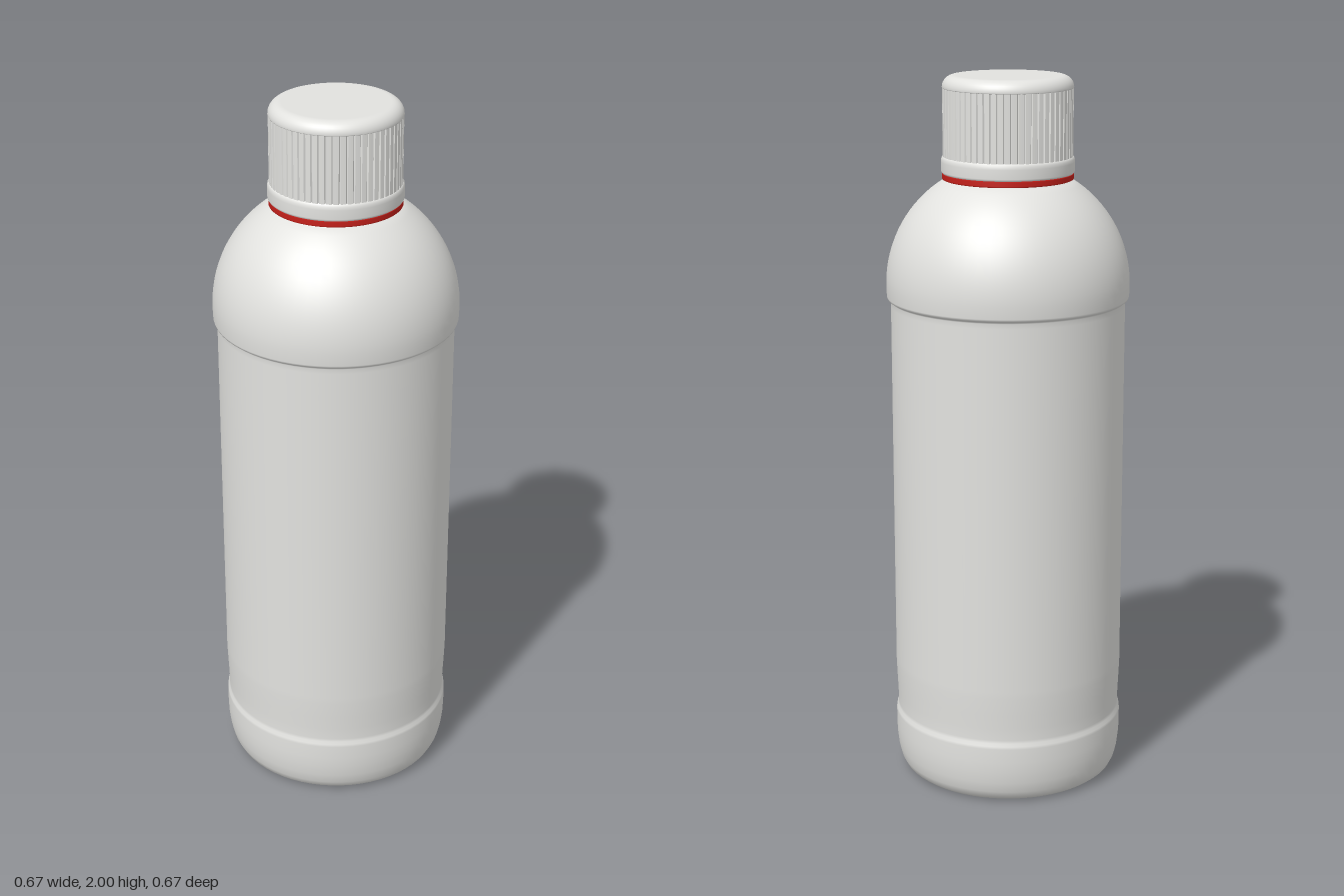
import * as THREE from 'three';

const white = new THREE.MeshStandardMaterial({ color: 0xe2e2df });
white.name = 'white plastic';
const red = new THREE.MeshStandardMaterial({ color: 0xc4201a });
red.name = 'red seal';

// Revolve a bottom-to-top [radius, height] profile
function turned(name, profile, material) {
  const points = profile.map(([r, y]) => new THREE.Vector2(r, y));
  const mesh = new THREE.Mesh(new THREE.LatheGeometry(points, 64), material);
  mesh.name = name;
  return mesh;
}

// Points along an arc in the profile plane, angles in degrees
function arc(cr, cy, radius, from, to, steps) {
  return Array.from({ length: steps + 1 }, (_, i) => {
    const a = THREE.MathUtils.degToRad(from + (to - from) * i / steps);
    return [cr + radius * Math.cos(a), cy + radius * Math.sin(a)];
  });
}

// Cap side: a round outline with narrow vertical grooves
function grooved(name, radius, depth, count, y0, y1) {
  const shape = new THREE.Shape();
  const step = Math.PI * 2 / count;
  for (let i = 0; i < count; i++) {
    for (const [f, d] of [[0, 0], [0.35, 0], [0.7, 0], [0.85, depth]]) {
      const a = (i + f) * step, r = radius - d;
      if (i + f === 0) shape.moveTo(r, 0);
      else shape.lineTo(r * Math.cos(a), r * Math.sin(a));
    }
  }
  shape.closePath();
  const geometry = new THREE.ExtrudeGeometry(shape, { depth: y1 - y0, bevelEnabled: false });
  geometry.rotateX(-Math.PI / 2).translate(0, y0, 0);
  const mesh = new THREE.Mesh(geometry, white);
  mesh.name = name;
  return mesh;
}

export function createModel() {
  const group = new THREE.Group();
  group.name = 'bottle';

  // Flat base, rounded foot, shallow waist, straight wall and overhanging shoulder
  group.add(turned('bottleBody', [
    [0, 0], [0.268, 0], [0.272, 0],
    [0.29, 0.004], [0.304, 0.015], [0.314, 0.035], [0.321, 0.065], [0.325, 0.1],
    [0.326, 0.13], [0.326, 0.17], [0.325, 0.178], [0.321, 0.186], [0.32, 0.195],
    [0.321, 0.23], [0.323, 0.27], [0.325, 0.32], [0.325, 0.34],
    [0.325, 1.37], [0.325, 1.384], [0.327, 1.388], [0.334, 1.392], [0.336, 1.398],
    ...arc(0, 1.43, 0.337, 0, 58, 16),
    [0.168, 1.716], [0.165, 1.725], [0.165, 1.75],
  ], white));

  // Red tamper ring
  group.add(turned('sealRing', [
    [0.16, 1.72], [0.178, 1.72], [0.18, 1.721], [0.18, 1.724],
    [0.18, 1.734], [0.18, 1.737], [0.16, 1.737],
  ], red));

  // Cap: smooth lower band, grooved grip and rounded lid
  group.add(turned('capBand', [
    [0.16, 1.737], [0.18, 1.737], [0.182, 1.739], [0.183, 1.743],
    [0.183, 1.768], [0.182, 1.776], [0.179, 1.782], [0.174, 1.784],
  ], white));
  group.add(grooved('capGrip', 0.178, 0.004, 60, 1.78, 1.968));
  group.add(turned('capLid', [
    [0.17, 1.964], [0.178, 1.966],
    ...arc(0.147, 1.968, 0.032, 0, 90, 8).map(([r, y]) => [Math.min(r, 0.179), y]),
    [0.144, 2], [0, 2],
  ], white));

  return group;
}
